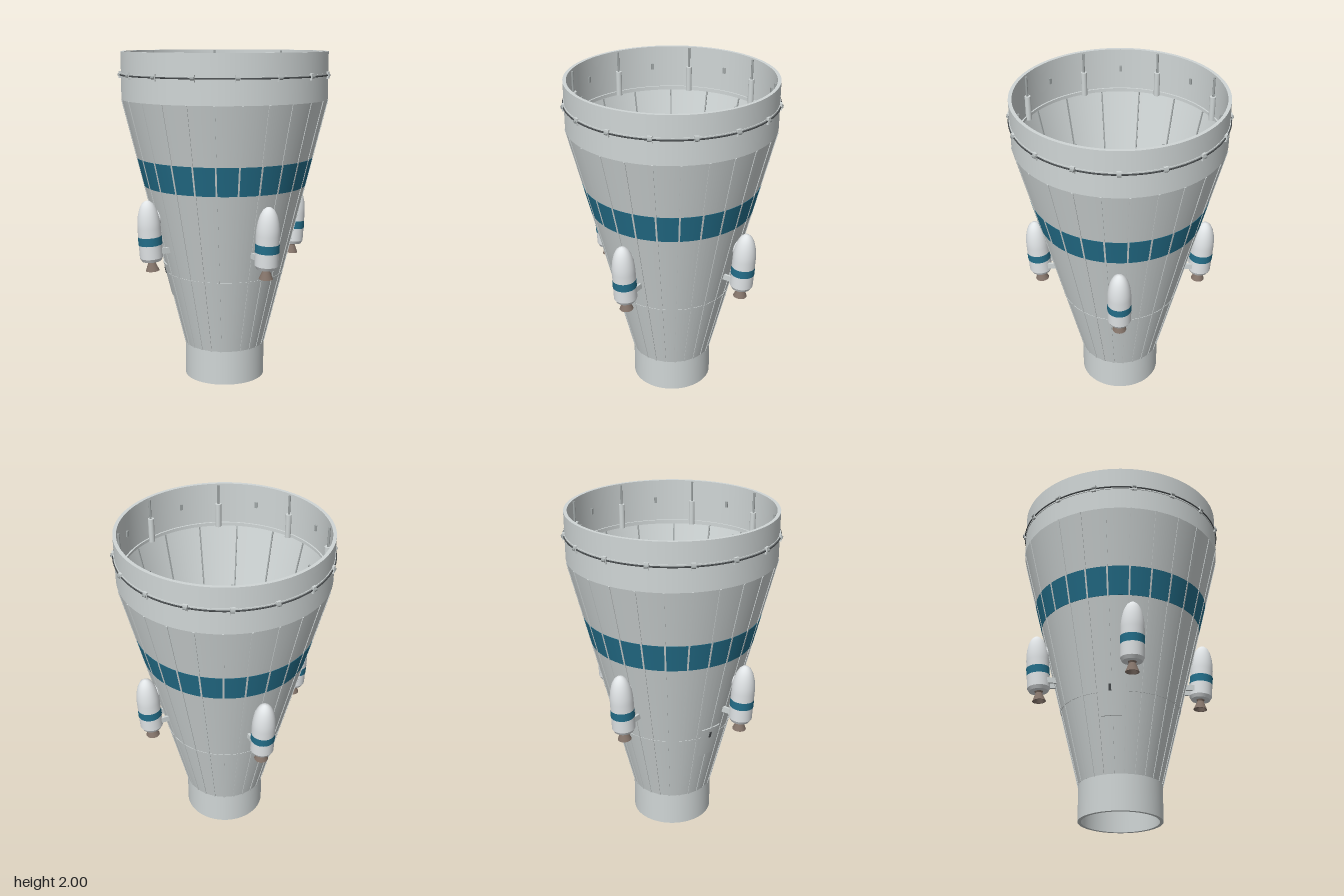
import * as THREE from 'three';
import { mergeGeometries } from 'three/addons/utils/BufferGeometryUtils.js';

const mat = (name, color) => new THREE.MeshStandardMaterial({ name, color });
const hullGrey = mat('hull grey', 0xd0d6d6);
const seamGrey = mat('seam grey', 0xa0a6a6);
const white = mat('booster white', 0xe6eaec);
const blue = mat('stripe blue', 0x24708c);
const brown = mat('nozzle brown', 0x84746a);
const dark = mat('dark detail', 0x4a4e50);
const DEG = Math.PI / 180;

// Main dimensions of the cone
const R0 = 0.245, R1 = 0.615, Y0 = 0.21, Y1 = 1.72, WALL = 0.02;
const SLOPE = Math.atan2(R1 - R0, Y1 - Y0);
const coneR = (y) => R0 + (R1 - R0) * (y - Y0) / (Y1 - Y0);

function mesh(parent, name, geometry, material, x = 0, y = 0, z = 0) {
  const m = new THREE.Mesh(geometry, material);
  m.name = name;
  m.position.set(x, y, z);
  parent.add(m);
  return m;
}

// Revolved profile with crisp edges; outside runs upward, inside downward
function turned(points, start = 0, sweep = Math.PI * 2, segments = 96) {
  const parts = [];
  for (let i = 0; i < points.length - 1; i++) {
    const pair = [points[i], points[i + 1]].map(([r, y]) => new THREE.Vector2(r, y));
    parts.push(new THREE.LatheGeometry(pair, segments, start, sweep));
  }
  return mergeGeometries(parts);
}

// Band of rectangular section that follows the cone between two heights
function coneBand(ya, yb, inset, outset, start, sweep, segments) {
  const a = coneR(ya), b = coneR(yb);
  return turned([[a - inset, ya], [a + outset, ya], [b + outset, yb], [b - inset, yb], [a - inset, ya]],
    start, sweep, segments);
}

// Turned group whose local +z points outward at the given angle from the front
function spoke(parent, name, angle) {
  const g = new THREE.Group();
  g.name = name;
  g.rotation.y = angle;
  parent.add(g);
  return g;
}

function buildHull(root) {
  const inner = R1 - WALL;
  mesh(root, 'hull', turned([
    [R0 - WALL, 0], [R0, 0], [R0, Y0], [R1, Y1], [R1, 2], [inner, 2],
    [inner, Y1], [R0 - WALL, Y0], [R0 - WALL, 0],
  ]), hullGrey);
  mesh(root, 'stripe', coneBand(1.205, 1.375, 0, 0.002), blue);
  mesh(root, 'lowerHoop', coneBand(0.66, 0.672, 0.002, 0.003), hullGrey);

  // Inner stiffening rings
  for (const y of [0.23, 0.94, 1.73]) {
    const r = Math.min(coneR(y), R1) - WALL + 0.003, d = y > 1.7 ? 0.012 : 0.02;
    mesh(root, 'innerRing', turned([
      [r - d, y], [r, y], [r, y + 0.016], [r - d, y + 0.016], [r - d, y],
    ]), hullGrey);
  }

  // Outer and inner ribs along the cone
  const length = Math.hypot(R1 - R0, Y1 - Y0), mid = (Y0 + Y1) / 2;
  const outerRib = new THREE.BoxGeometry(0.01, length, 0.008);
  const innerRib = new THREE.BoxGeometry(0.008, length, 0.012);
  for (let i = 0; i < 25; i++) {
    const g = spoke(root, 'outerRib', (90 + (i + 0.5) * 14.4) * DEG);
    mesh(g, 'outerRibBar', outerRib, hullGrey, 0, mid, coneR(mid)).rotation.x = SLOPE;
  }
  for (let i = 0; i < 16; i++) {
    const g = spoke(root, 'innerRib', (i + 0.5) * 22.5 * DEG);
    mesh(g, 'innerRibBar', innerRib, seamGrey, 0, mid, coneR(mid) - WALL).rotation.x = SLOPE;
  }
}

function buildClampBand(root) {
  mesh(root, 'clampBand', turned([
    [0.612, 1.853], [0.619, 1.853], [0.619, 1.877], [0.612, 1.877],
  ]), hullGrey);
  mesh(root, 'clampCable', new THREE.TorusGeometry(0.62, 0.005, 6, 96), dark, 0, 1.865, 0).rotation.x = Math.PI / 2;
  for (let i = 0; i < 16; i++) {
    const g = spoke(root, 'clamp', i * 22.5 * DEG);
    mesh(g, 'clampBlock', new THREE.BoxGeometry(0.026, 0.04, 0.018), hullGrey, 0, 1.865, 0.619);
    mesh(g, 'clampBolt', new THREE.CylinderGeometry(0.009, 0.009, 0.022, 10), seamGrey, 0, 1.865, 0.627)
      .rotation.z = Math.PI / 2;
    if (i % 2 === 0) mesh(g, 'innerLug', new THREE.BoxGeometry(0.016, 0.035, 0.012), seamGrey, 0, 1.875, 0.592);
  }
}

// Spring pushers inside the upper rim
function buildPushers(root) {
  for (let i = 0; i < 8; i++) {
    const g = spoke(root, 'pusher', (i + 0.5) * 45 * DEG);
    mesh(g, 'pusherBody', new THREE.CylinderGeometry(0.018, 0.018, 0.15, 16), hullGrey, 0, 1.8, 0.58);
    mesh(g, 'pusherRod', new THREE.CylinderGeometry(0.007, 0.007, 0.13, 10), seamGrey, 0, 1.93, 0.583);
  }
}

function buildBooster(root, angle) {
  const arm = spoke(root, 'booster', angle);
  const b = new THREE.Group();
  b.name = 'boosterBody';
  b.position.set(0, 0.78, 0.494);
  b.rotation.x = 4 * DEG;
  arm.add(b);

  // Rounded nose flows into the straight tank
  const profile = [[0.069, 0.02], [0.069, 0.2], [0.067, 0.235], [0.061, 0.275],
    [0.05, 0.315], [0.034, 0.345], [0.016, 0.36], [0, 0.364]];
  mesh(b, 'boosterShell', new THREE.LatheGeometry(profile.map((p) => new THREE.Vector2(...p)), 32), white);
  mesh(b, 'boosterBase', turned([[0, 0], [0.058, 0], [0.069, 0.02]], 0, Math.PI * 2, 32), white);
  mesh(b, 'boosterStripe', new THREE.CylinderGeometry(0.0705, 0.0705, 0.05, 32, 1, true), blue, 0, 0.125, 0);
  mesh(b, 'nozzle', turned([
    [0.036, -0.062], [0.041, -0.062], [0.028, -0.03], [0.02, -0.01], [0.026, 0.002],
    [0.014, 0.002], [0.014, -0.01], [0.022, -0.03], [0.036, -0.062],
  ], 0, Math.PI * 2, 24), brown);

  // Mounts joining the booster to the hull
  for (const side of [-1, 1]) {
    mesh(arm, 'lowerMount', new THREE.BoxGeometry(0.014, 0.035, 0.1), hullGrey, side * 0.04, 0.84, 0.435);
  }
  const upper = mesh(arm, 'upperMount', new THREE.SphereGeometry(0.03, 20, 12), white, 0, 1.04, 0.448);
  upper.scale.set(1, 1.5, 1);
}

// Access hatch low on the right side of the front
function buildHatch(root) {
  const start = -72 * DEG, sweep = 21 * DEG;
  mesh(root, 'hatchPanel', coneBand(0.525, 0.73, 0.002, 0.008, start, sweep, 8), hullGrey);
  const g = spoke(root, 'hatchLatch', -62 * DEG);
  mesh(g, 'hatchSlot', new THREE.BoxGeometry(0.014, 0.04, 0.006), dark, 0, 0.68, coneR(0.68) + 0.009)
    .rotation.x = SLOPE;
}

export function createModel() {
  const root = new THREE.Group();
  root.name = 'launcherAdapter';
  buildHull(root);
  buildClampBand(root);
  buildPushers(root);
  for (let i = 0; i < 4; i++) buildBooster(root, (45 + i * 90) * DEG);
  buildHatch(root);
  return root;
}
